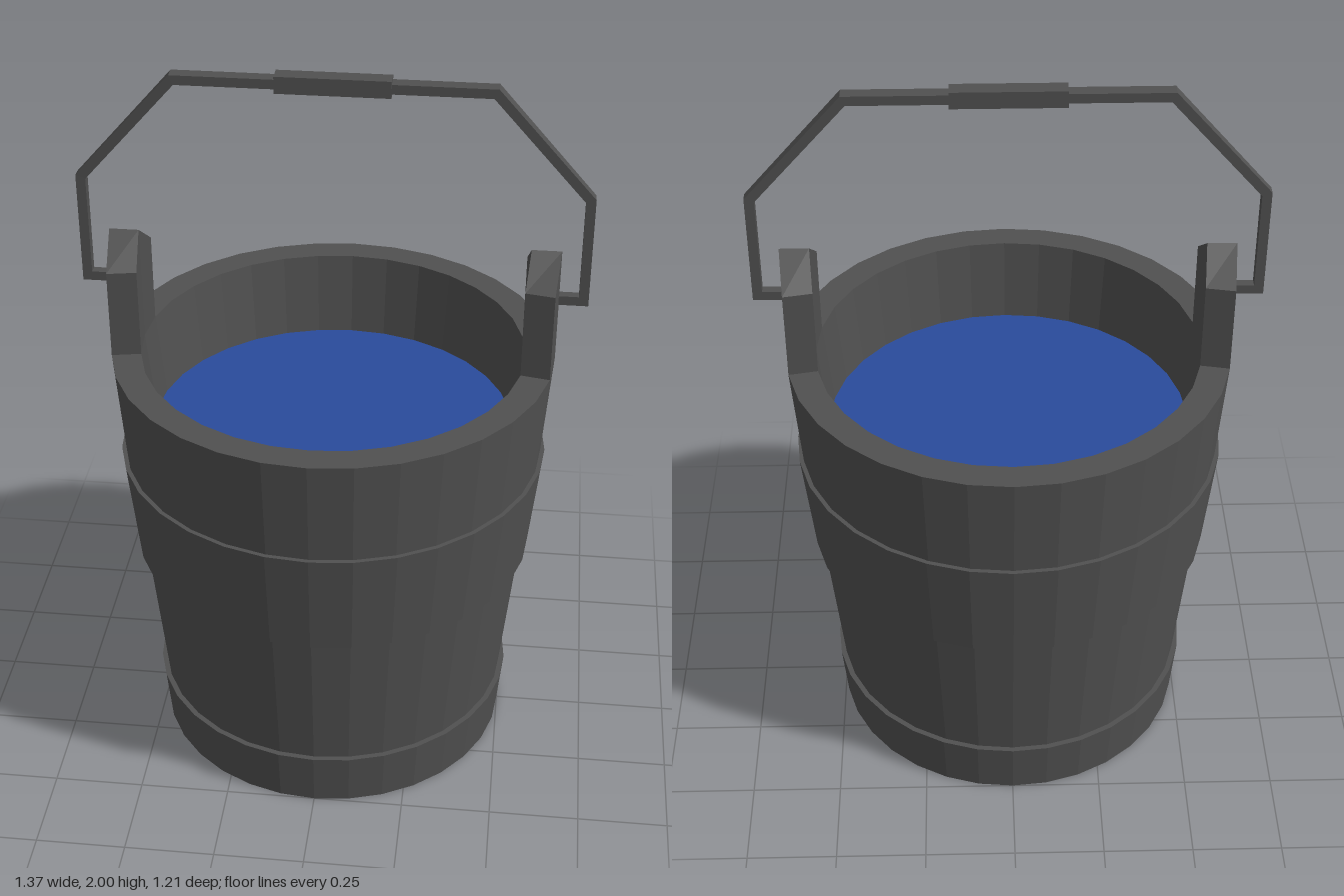
import * as THREE from 'three';

const SIDES = 32;
const R_OUT = 0.605, R_IN = 0.525, RIM_Y = 1.21;

const material = (color) => new THREE.MeshStandardMaterial({ color, flatShading: true });
const dark = material(0x505050);
const blue = material(0x2a4b9b);

function part(name, geometry, mat = dark) {
  const mesh = new THREE.Mesh(geometry, mat);
  mesh.name = name;
  return mesh;
}

// Half of a lug: one rim segment raised, its top falling away from the middle
function lugHalf(start, turn) {
  const end = start + turn * Math.PI * 2 / SIDES;
  const at = (r, a) => new THREE.Vector2(r * Math.cos(a), r * Math.sin(a));
  const plan = new THREE.Shape([at(R_IN, start), at(R_OUT, start), at(R_OUT, end), at(R_IN, end)]);
  const geo = new THREE.ExtrudeGeometry(plan, { depth: 1.535 - RIM_Y, bevelEnabled: false });
  geo.rotateX(-Math.PI / 2).translate(0, RIM_Y, 0);
  const p = geo.attributes.position;
  for (let i = 0; i < p.count; i++) {
    if (p.getY(i) > 1.5 && Math.abs(p.getZ(i)) > 0.05) p.setY(i, 1.46);
  }
  return geo;
}

// Square bar bent along a path of [x, y, half depth] with mitred corners
function bentBar(path, half) {
  const n = path.length - 1;
  const geo = new THREE.BoxGeometry(1, 1, 1, n, 1, 1);
  const pts = path.map(([x, y]) => new THREE.Vector2(x, y));
  const normals = pts.slice(1).map((q, i) => {
    const d = q.clone().sub(pts[i]).normalize();
    return new THREE.Vector2(-d.y, d.x);
  });
  const p = geo.attributes.position;
  for (let i = 0; i < p.count; i++) {
    const k = Math.round((p.getX(i) + 0.5) * n);
    const a = normals[Math.max(k - 1, 0)], b = normals[Math.min(k, n - 1)];
    const mitre = a.clone().add(b).divideScalar(1 + a.dot(b));
    const q = pts[k].clone().addScaledVector(mitre, Math.sign(p.getY(i)) * half);
    p.setXYZ(i, q.x, q.y, Math.sign(p.getZ(i)) * path[k][2]);
  }
  geo.computeVertexNormals();
  return geo;
}

export function createModel() {
  const model = new THREE.Group();
  model.name = 'bucket';

  // Tapered body with raised hoops, rim and inner wall
  const profile = [
    [0, 0], [0.5, 0], [0.515, 0.16], [0.5, 0.16], [0.545, 0.605], [0.562, 0.605],
    [0.594, 0.91], [0.582, 0.91], [R_OUT, RIM_Y], [R_IN, RIM_Y], [0.499, 0.95],
  ].map(([r, y]) => new THREE.Vector2(r, y));
  model.add(part('body', new THREE.LatheGeometry(profile, SIDES)));

  // Water surface, its corners lined up with the wall
  const water = part('water', new THREE.CircleGeometry(0.501, SIDES).rotateX(-Math.PI / 2), blue);
  water.position.y = 0.97;
  model.add(water);

  // Lugs that carry the handle
  for (const [name, angle] of [['leftLug', 0], ['rightLug', Math.PI]]) {
    const lug = new THREE.Group();
    lug.name = name;
    for (const turn of [-1, 1]) lug.add(part('lugHalf', lugHalf(angle, turn)));
    model.add(lug);
  }

  // Handle: pins, uprights, slopes and crossbar
  const side = [[0.57, 1.395, 0.013], [0.67, 1.395, 0.013], [0.67, 1.69, 0.014], [0.415, 1.977, 0.019]];
  const path = [...side.map(([x, y, d]) => [-x, y, d]), ...side.slice().reverse()];
  model.add(part('handle', bentBar(path, 0.013)));

  const grip = part('grip', new THREE.BoxGeometry(0.3, 0.046, 0.047));
  grip.position.y = 1.977;
  model.add(grip);

  return model;
}
